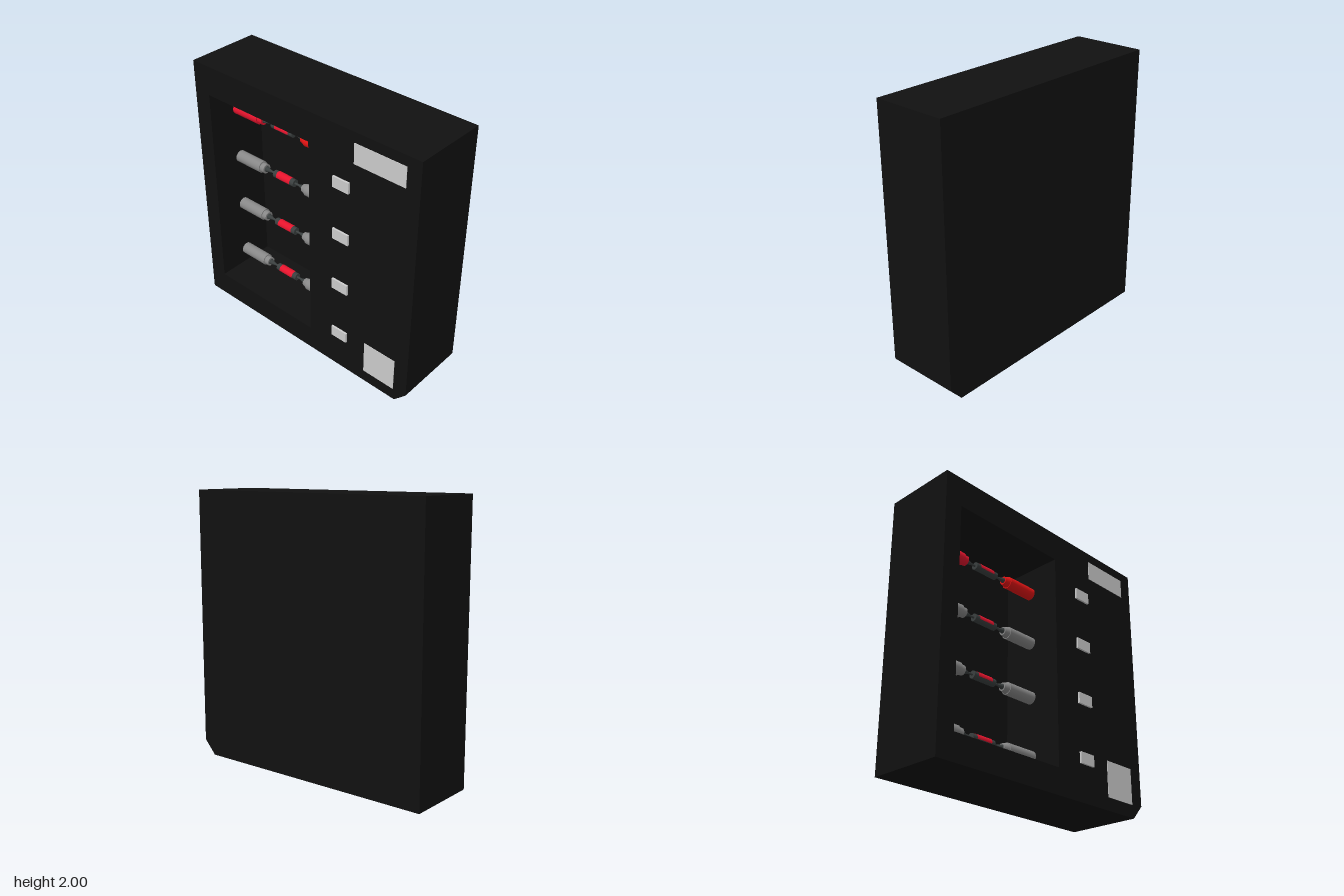
import * as THREE from 'three';

const mat = (color, side = THREE.FrontSide) => new THREE.MeshStandardMaterial({ color, side });
const black = mat(0x111111);
const grey = mat(0xcccccc);
const steel = mat(0x888888);
const dark = mat(0x3a3f3f);
const crimson = mat(0xe6142d);
const red = mat(0xe61414);
const labelRed = mat(0xe6142d, THREE.DoubleSide);

function add(parent, name, geometry, material, x = 0, y = 0, z = 0) {
  const mesh = new THREE.Mesh(geometry, material);
  mesh.name = name;
  mesh.position.set(x, y, z);
  parent.add(mesh);
  return mesh;
}

// Upright outline with one clipped lower corner
function outline() {
  return new THREE.Shape([
    [-0.975, 0], [0.88, 0], [0.975, 0.105], [0.975, 2], [-0.975, 2],
  ].map(([x, y]) => new THREE.Vector2(x, y)));
}

const slab = (shape, depth) => new THREE.ExtrudeGeometry(shape, { depth, bevelEnabled: false });

// Round part along x, from [x, radius] pairs; pairs repeat a radius to keep edges crisp
function turned(parent, name, sections, material) {
  const group = new THREE.Group();
  group.name = name;
  parent.add(group);
  for (const [x0, r0, x1, r1] of sections) {
    const g = new THREE.CylinderGeometry(r1, r0, x1 - x0, 24);
    g.rotateZ(-Math.PI / 2);
    add(group, name + 'Section', g, material, (x0 + x1) / 2);
  }
}

// One horizontal canister pair with a narrow linked core
function createRod(leftMaterial, rightMaterial) {
  const rod = new THREE.Group();
  rod.name = 'rod';
  turned(rod, 'outerCanister', [
    [-0.835, 0.045, -0.6, 0.045], [-0.6, 0.037, -0.562, 0.036],
  ], leftMaterial);
  turned(rod, 'innerCanister', [
    [-0.195, 0.03, -0.155, 0.04], [-0.155, 0.045, 0.09, 0.045],
  ], rightMaterial);
  turned(rod, 'core', [
    [-0.562, 0.022, -0.51, 0.008], [-0.51, 0.008, -0.474, 0.008],
    [-0.474, 0.028, -0.276, 0.028],
    [-0.276, 0.008, -0.24, 0.008], [-0.24, 0.008, -0.19, 0.022],
  ], dark);
  // Red label wrapped over the front and top of the core
  const wrap = new THREE.CylinderGeometry(0.031, 0.031, 0.13, 20, 1, true, -Math.PI * 0.1, Math.PI * 0.95);
  wrap.rotateZ(Math.PI / 2);
  add(rod, 'coreLabel', wrap, labelRed, -0.375);
  return rod;
}

export function createModel() {
  const model = new THREE.Group();

  // Cabinet: front shell with a window, closed by a back panel
  const front = outline();
  front.holes.push(new THREE.Path([
    [-0.84, 0.19], [-0.84, 1.78], [0.09, 1.78], [0.09, 0.19],
  ].map(([x, y]) => new THREE.Vector2(x, y))));
  add(model, 'cabinetShell', slab(front, 0.48), black, 0, 0, -0.21);
  add(model, 'backPanel', slab(outline(), 0.075), black, 0, 0, -0.285);

  // Rods in the window, each with a button beside it
  [0.315, 0.752, 1.177, 1.583].forEach((y, i) => {
    const top = i === 3;
    const rod = createRod(top ? crimson : steel, top ? red : steel);
    rod.position.set(0, y, 0.02);
    model.add(rod);
    add(model, 'button', new THREE.BoxGeometry(0.135, 0.082, 0.03), grey, 0.373, y - 0.003 + i * 0.001, 0.27);
  });

  // Flat plates on the front
  add(model, 'upperPlate', new THREE.BoxGeometry(0.4, 0.15, 0.01), grey, 0.67, 1.85, 0.268);
  add(model, 'lowerPlate', new THREE.BoxGeometry(0.267, 0.265, 0.01), grey, 0.732, 0.228, 0.268);

  return model;
}
